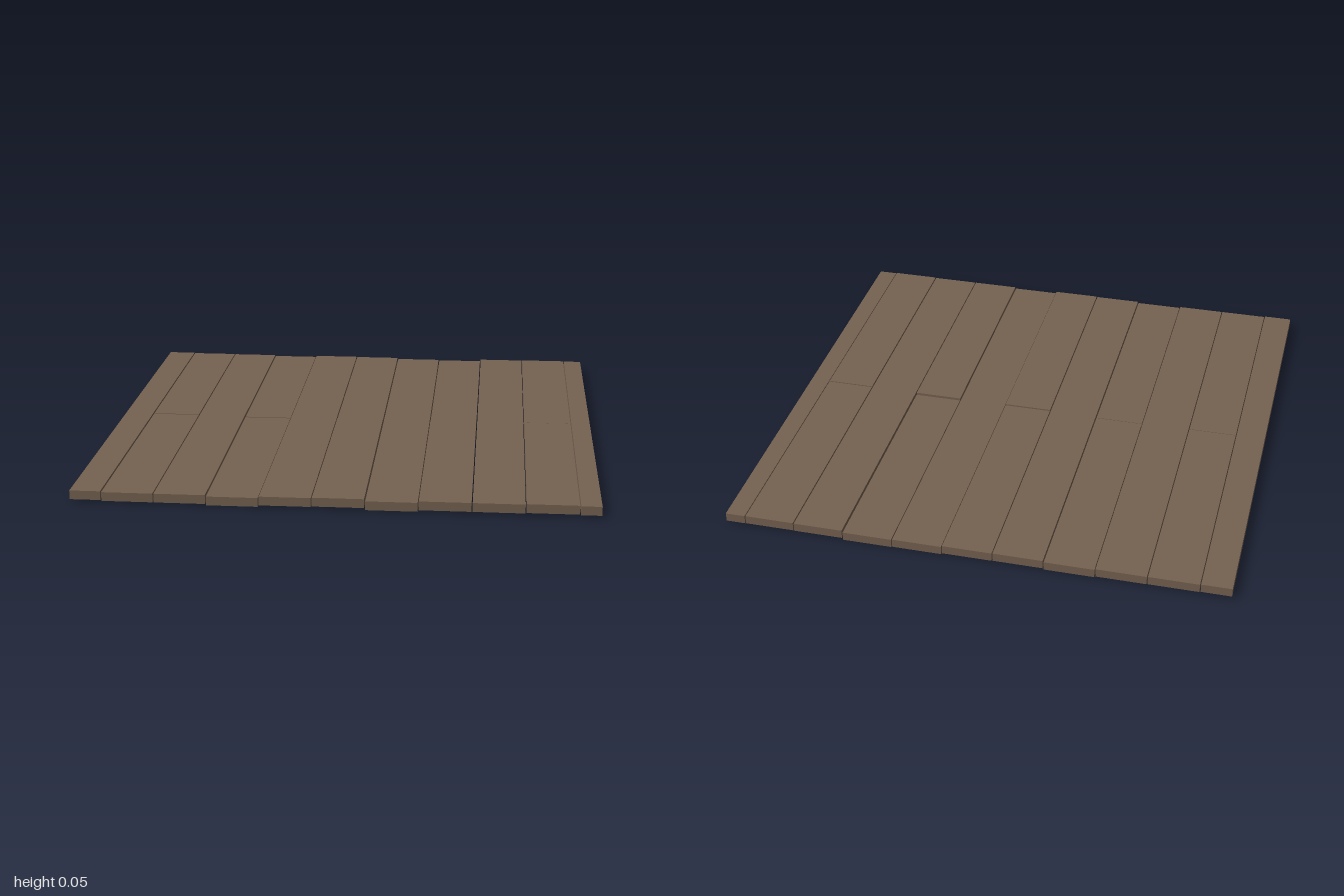
import * as THREE from 'three';

export function createModel() {
  const floor = new THREE.Group();
  floor.name = 'plankFloor';
  const wood = new THREE.MeshStandardMaterial({ color: 0x756251 });
  wood.name = 'brown wood';

  const thick = 0.035, gap = 0.004;
  // Seams between the rows of planks
  const seams = [-1];
  for (let i = 0; i < 10; i++) seams.push(-0.88 + i * 0.2);
  seams.push(1);

  // Underside height of each row; a pair gives the front and back halves of a split row
  const heights = [
    0.01, [0.007, 0.008], 0.007, [0.002, 0.003], 0.008, [0.01, 0.007],
    0.002, [0.008, 0], 0.008, [0.01, 0.009], 0.008,
  ];

  function addPlank(name, x0, x1, z0, z1, y) {
    const plank = new THREE.Mesh(new THREE.BoxGeometry(x1 - x0, thick, z1 - z0), wood);
    plank.position.set((x0 + x1) / 2, y + thick / 2, (z0 + z1) / 2);
    plank.name = name;
    floor.add(plank);
  }

  heights.forEach((h, i) => {
    // Leave narrow gaps at inner seams only
    const x0 = seams[i] + (i > 0 ? gap / 2 : 0);
    const x1 = seams[i + 1] - (i < heights.length - 1 ? gap / 2 : 0);
    if (Array.isArray(h)) {
      addPlank(`frontPlank${i + 1}`, x0, x1, gap / 2, 1, h[0]);
      addPlank(`backPlank${i + 1}`, x0, x1, -1, -gap / 2, h[1]);
    } else {
      addPlank(`longPlank${i + 1}`, x0, x1, -1, 1, h);
    }
  });
  return floor;
}
